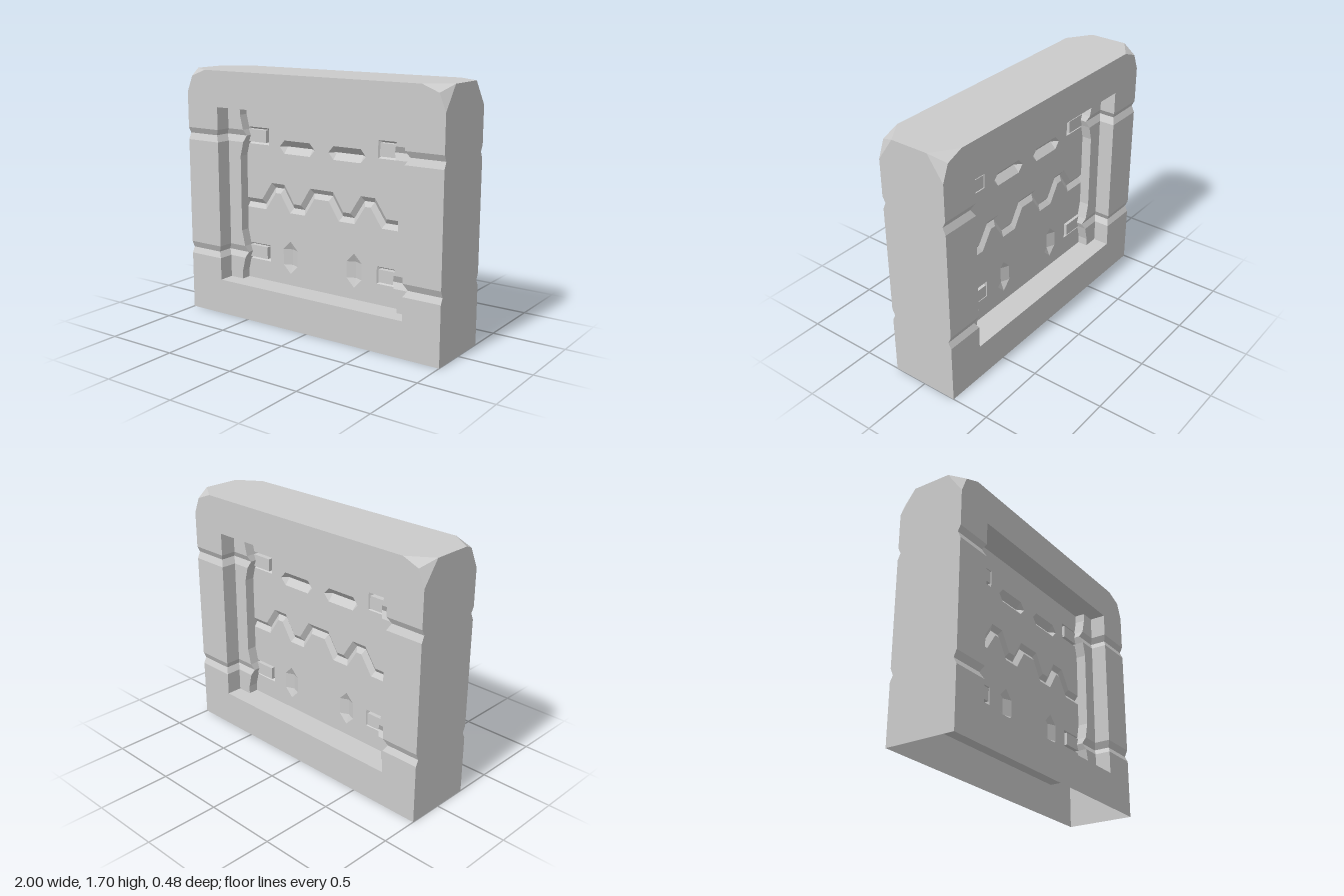
import * as THREE from 'three';

const FRONT = 0.24, PILLAR = 0.13, PANEL = 0.06, POCKET = 0.03; // z levels of one face
const Y0 = 0.245, Y1 = 1.455, XW = 0.735, XE = 0.63;             // recess limits
const GROOVES = [[0.40, 0.44, 0.485], [1.215, 1.26, 1.30]];      // low edge, bottom, high edge
const material = new THREE.MeshStandardMaterial({ color: 0xcccccc, flatShading: true, side: THREE.DoubleSide });

// Collects flat facets for one named part
class Part {
  constructor(name) { this.name = name; this.pos = []; }
  tri(a, b, c) { this.pos.push(...a, ...b, ...c); }
  quad(a, b, c, d) { this.tri(a, b, c); this.tri(a, c, d); }
  // Planar outline with holes, placed by a mapping (u, v) -> [x, y, z]
  flat(points, map, holes = [], flip = false) {
    const vec = list => list.map(p => new THREE.Vector2(...p));
    const shape = new THREE.Shape(vec(points));
    shape.holes = holes.map(h => new THREE.Path(vec(h)));
    const p = new THREE.ShapeGeometry(shape).toNonIndexed().attributes.position;
    for (let i = 0; i < p.count; i += 3) {
      const [a, b, c] = [0, 1, 2].map(k => map(p.getX(i + k), p.getY(i + k)));
      flip ? this.tri(a, c, b) : this.tri(a, b, c);
    }
  }
  // Adds the x-mirrored copy of everything so far
  mirror() {
    const p = this.pos.slice();
    for (let i = 0; i < p.length; i += 9)
      for (const k of [0, 6, 3]) this.pos.push(-p[i + k], p[i + k + 1], p[i + k + 2]);
  }
  mesh() {
    const g = new THREE.BufferGeometry();
    g.setAttribute('position', new THREE.Float32BufferAttribute(this.pos, 3));
    g.computeVertexNormals();
    const m = new THREE.Mesh(g, material);
    m.name = this.name;
    return m;
  }
}

const mirrored = pts => pts.map(([x, y]) => [-x, y]).reverse();
const rect = (x0, y0, x1, y1) => [[x0, y0], [x1, y0], [x1, y1], [x0, y1]];

// Flat frame above and below the recess, plus the recess ledges
function frame() {
  const p = new Part('frame'), at = (x, y) => [x, y, FRONT];
  p.flat(rect(-1, 0, 1, Y0), at);
  const right = [[1, Y1], [1, 1.545], [0.955, 1.655], [0.84, 1.7]];
  p.flat([...right, ...mirrored(right)], at);
  for (const [y, flip] of [[Y0, false], [Y1, true]]) {
    const ledge = (x, v) => [x, y, -v];
    p.flat(rect(-XW, -FRONT, XW, -PILLAR), ledge, [], flip);
    p.flat(rect(-XE, -PILLAR, XE, -PANEL), ledge, [], flip);
  }
  return p.mesh();
}

// Side columns: cross-sections lofted upward, dented where the grooves run
function columns() {
  const p = new Part('groovedColumns');
  const row = (y, edge, dent = false) => {
    const z = dent ? 0.02 : 0, xw = dent ? 0.76 : XW;
    return [[1, y, FRONT - z], [xw, y, FRONT - z], [xw, y, PILLAR - z], [edge, y, PILLAR - z], [edge, y, POCKET]];
  };
  const rows = [row(Y0, XE)];
  GROOVES.forEach(([a, b, c], i) => rows.push(
    row(i ? 1.118 : 0.30, XE), row(a, 0.605), row(b, 0.588, true), row(c, 0.605), row(i ? 1.40 : 0.595, XE)));
  rows.push(row(Y1, XE));
  for (let i = 0; i + 1 < rows.length; i++)
    for (let k = 0; k < 4; k++)
      p.quad(rows[i][k + 1], rows[i][k], rows[i + 1][k], rows[i + 1][k + 1]);
  p.mirror();
  return p.mesh();
}

// Zigzag centre line with mitred upper and lower edges
const half = [[-XE, 0.786, 0], [-0.485, 0.786, 1], [-0.40, 0.91, 1], [-0.325, 0.91, -1],
  [-0.245, 0.786, -1], [-0.155, 0.786, 1], [-0.075, 0.91, 1]];
const zigzag = [...half, ...half.map(([x, y, s]) => [-x, y, -s]).reverse()];
const zigEdge = side => zigzag.map(([x, y, s]) => [x - side * s * 0.017, y + side * 0.033]);

// Hexagonal V-cut slots: centre, straight half length, tip, half width, depth, upright
const SLOTS = [];
for (const s of [-1, 1]) {
  SLOTS.push({ x: s * 0.2, y: 1.2, l: 0.105, tip: 0.145, w: 0.045, d: 0.04, up: false });
  SLOTS.push({ x: s * 0.26, y: 0.44, l: 0.055, tip: 0.115, w: 0.06, d: 0.025, up: true });
}
const slotAt = (s, u, v) => s.up ? [s.x - v, s.y + u] : [s.x + u, s.y + v];
const slotOutline = s => [[s.tip, 0], [s.l, s.w], [-s.l, s.w], [-s.tip, 0], [-s.l, -s.w], [s.l, -s.w]]
  .map(([u, v]) => slotAt(s, u, v));

// Recessed panel in two halves divided by the zigzag
function panel() {
  const p = new Part('recessedPanel'), at = (x, y) => [x, y, PANEL];
  const notch = ([a, , c]) => [[0.609, a - 0.015], [0.435, a - 0.015], [0.435, c + 0.015], [0.609, c + 0.015]];
  const low = [[XE, Y0], [XE, 0.30], ...notch(GROOVES[0]), [XE, 0.595]];
  const high = [[XE, 1.118], ...notch(GROOVES[1]), [XE, 1.40], [XE, Y1]];
  const holes = up => SLOTS.filter(s => s.up === up).map(slotOutline);
  p.flat([...low, ...zigEdge(-1).reverse(), ...mirrored(low)], at, holes(true));
  p.flat([...zigEdge(1), ...high, ...mirrored(high)], at, holes(false));
  return p.mesh();
}

function zigzagGroove() {
  const p = new Part('zigzagGroove');
  const top = zigEdge(1).map(q => [...q, PANEL]), bottom = zigEdge(-1).map(q => [...q, PANEL]);
  const mid = zigzag.map(([x, y]) => [x, y, PANEL - 0.025]);
  for (let i = 0; i + 1 < mid.length; i++) {
    p.quad(mid[i], mid[i + 1], top[i + 1], top[i]);
    p.quad(bottom[i], bottom[i + 1], mid[i + 1], mid[i]);
  }
  return p.mesh();
}

function slotCuts() {
  const p = new Part('slotCuts');
  for (const s of SLOTS) {
    const o = slotOutline(s).map(q => [...q, PANEL]);
    const a = [...slotAt(s, -s.l, 0), PANEL - s.d], b = [...slotAt(s, s.l, 0), PANEL - s.d];
    p.quad(a, b, o[1], o[2]);
    p.quad(b, a, o[4], o[5]);
    p.tri(b, o[0], o[1]);
    p.tri(b, o[5], o[0]);
    p.tri(a, o[2], o[3]);
    p.tri(a, o[3], o[4]);
  }
  return p.mesh();
}

// Bevelled pockets at the groove ends, each holding a block
function pockets() {
  const p = new Part('blockPockets');
  for (const [y0, , y1] of GROOVES) {
    const xi = 0.609, x = 0.455, xo = 0.435, e = 0.015;
    const inner = rect(x, y0, xi, y1).map(q => [...q, POCKET]);
    const outer = [[xo, y0 - e], [xi, y0 - e], [xi, y1 + e], [xo, y1 + e]].map(q => [...q, PANEL]);
    p.quad(...inner);
    p.quad(outer[0], outer[1], inner[1], inner[0]);
    p.quad(inner[3], inner[2], outer[2], outer[3]);
    p.quad(outer[0], inner[0], inner[3], outer[3]);
  }
  p.mirror();
  return p.mesh();
}

function decoratedFace(name) {
  const g = new THREE.Group();
  g.name = name;
  g.add(frame(), columns(), panel(), zigzagGroove(), slotCuts(), pockets());
  for (const [y0, , y1] of GROOVES) for (const s of [-1, 1]) {
    const block = new THREE.Mesh(new THREE.BoxGeometry(0.16, y1 - y0, 0.038), material);
    block.position.set(s * 0.535, (y0 + y1) / 2, POCKET + 0.019);
    block.name = 'block';
    g.add(block);
  }
  return g;
}

// Side walls notched by the grooves, top and cut corners; the underside is open
function shell() {
  const sides = new Part('sideWalls'), top = new Part('top'), corners = new Part('cutCorners');
  const edge = [[FRONT, 0]];
  for (const [a, b, c] of GROOVES) edge.push([FRONT, a], [FRONT - 0.02, b], [FRONT, c]);
  edge.push([FRONT, 1.545], [0.13, 1.7]);
  sides.flat([...edge, ...mirrored(edge)], (z, y) => [1, y, z], [], true);
  sides.mirror();
  const end = [[0.84, -FRONT], [1, -0.13], [1, 0.13], [0.84, FRONT]];
  top.flat([...end, ...mirrored(end)], (x, v) => [x, 1.7, -v]);
  for (const s of [1, -1]) {
    const A = [1, 1.545, s * FRONT], P = [0.955, 1.655, s * FRONT], B = [0.84, 1.7, s * FRONT], C = [1, 1.7, s * 0.13];
    if (s > 0) { corners.tri(A, C, P); corners.tri(P, C, B); }
    else { corners.tri(A, P, C); corners.tri(P, B, C); }
  }
  corners.mirror();
  return [sides.mesh(), top.mesh(), corners.mesh()];
}

export function createModel() {
  const model = new THREE.Group();
  model.name = 'wallBlock';
  const back = decoratedFace('backFace');
  back.rotation.y = Math.PI;
  model.add(decoratedFace('frontFace'), back, ...shell());
  return model;
}
